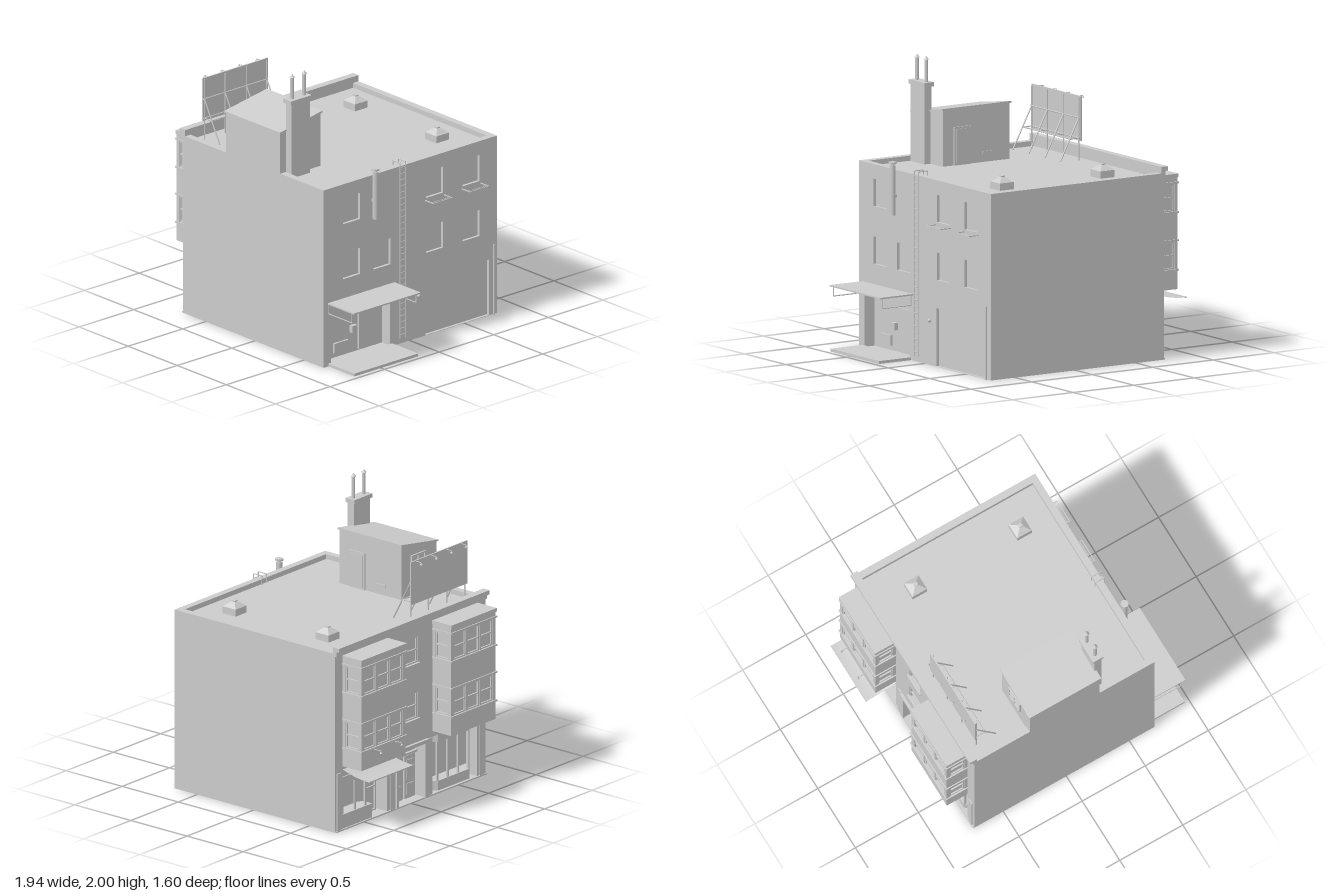
import * as THREE from 'three';

const mat = new THREE.MeshStandardMaterial({ color: 0xcccccc, side: THREE.DoubleSide });

function add(parent, name, geometry, x = 0, y = 0, z = 0) {
  const m = new THREE.Mesh(geometry, mat);
  m.name = name;
  m.position.set(x, y, z);
  parent.add(m);
  return m;
}

function group(parent, name, x = 0, y = 0, z = 0, rx = 0, ry = 0) {
  const g = new THREE.Group();
  g.name = name;
  g.position.set(x, y, z);
  g.rotation.set(rx, ry, 0);
  parent.add(g);
  return g;
}

// Box given by its limits; faces in drop (+x -x +y -y +z -z = 0..5) are left open
function box(parent, name, x0, x1, y0, y1, z0, z1, drop = []) {
  const g = new THREE.BoxGeometry(x1 - x0, y1 - y0, z1 - z0);
  if (drop.length) {
    g.setIndex(Array.from(g.index.array).filter((_, i) => !drop.includes(Math.floor(i / 6))));
    g.clearGroups();
  }
  return add(parent, name, g, (x0 + x1) / 2, (y0 + y1) / 2, (z0 + z1) / 2);
}

// Straight round bar between two points
function rod(parent, name, a, b, r = 0.004, sides = 6) {
  const p = new THREE.Vector3(...a), q = new THREE.Vector3(...b), d = q.clone().sub(p);
  const m = add(parent, name, new THREE.CylinderGeometry(r, r, d.length(), sides));
  m.position.copy(p).add(q).multiplyScalar(0.5);
  m.quaternion.setFromUnitVectors(new THREE.Vector3(0, 1, 0), d.normalize());
  return m;
}

const polygon = pts => new THREE.Shape(pts.map(p => new THREE.Vector2(...p)));
const rect = (a, b, c, d) => [[a, c], [b, c], [b, d], [a, d]];

// Flat wall facing local +z, with recessed openings [u0, u1, v0, v1, depth]
function wall(parent, name, u0, u1, v0, v1, openings) {
  const s = polygon(rect(u0, u1, v0, v1));
  for (const [a, b, c, d, depth] of openings) {
    s.holes.push(new THREE.Path(rect(a, b, c, d).map(p => new THREE.Vector2(...p))));
    box(parent, name + 'Recess', a, b, c, d, -depth, 0, [4]);
  }
  return add(parent, name, new THREE.ShapeGeometry(s));
}

// Sash frame: border, meeting rail and optional upright bars
function sash(parent, u0, u1, v0, v1, z, bars = 0, t = 0.01) {
  const m = (v0 + v1) / 2, g = group(parent, 'windowFrame');
  box(g, 'stile', u0, u0 + t, v0, v1, z, z + t);
  box(g, 'stile', u1 - t, u1, v0, v1, z, z + t);
  for (const v of [v0, m - t / 2, v1 - t]) box(g, 'rail', u0, u1, v, v + t, z, z + t * 1.1);
  for (let i = 1; i <= bars; i++) {
    const u = u0 + (u1 - u0) * i / (bars + 1);
    box(g, 'glazingBar', u - t / 2, u + t / 2, v0, v1, z, z + t);
  }
}

const floors = [[0.6, 0.79], [1.0, 1.19]];

// Projecting two-storey window bay on the street side
function bay(facade, u0, u1) {
  const D = 0.165, b = group(facade, 'windowBay');
  box(b, 'baySlabs', u0, u1, 0.46, 1.245, 0, D, [0, 1, 4, 5]);
  box(b, 'bayRoof', u0 - 0.005, u1 + 0.005, 1.235, 1.26, 0, D + 0.007);
  const fronts = [], sides = [], w = 0.125;
  for (const [v0, v1] of floors) {
    for (const k of [-1, 0, 1]) {
      const c = (u0 + u1) / 2 + k * 0.14;
      fronts.push([c - w / 2, c + w / 2, v0, v1, 0.018]);
    }
    sides.push([0.025, 0.14, v0, v1, 0.018]);
    for (const v of [v0 - 0.012, v1 + 0.003]) box(b, 'bayLedge', u0 - 0.008, u1 + 0.008, v, v + 0.012, 0, D + 0.008);
  }
  const f = group(b, 'bayFront', 0, 0, D);
  wall(f, 'bayFrontWall', u0, u1, 0.46, 1.245, fronts);
  for (const o of fronts) sash(f, o[0], o[1], o[2], o[3], -0.015);
  const r = group(b, 'baySide', u1, 0, D, 0, Math.PI / 2);
  const l = group(b, 'baySide', u0, 0, 0, 0, -Math.PI / 2);
  for (const s of [r, l]) {
    wall(s, 'baySideWall', 0, D, 0.46, 1.245, sides);
    for (const o of sides) sash(s, o[0], o[1], o[2], o[3], -0.015);
  }
}

function streetSide(root) {
  const f = group(root, 'streetFacade', -0.73, 0, 0, 0, -Math.PI / 2); // u = z, outward = -x
  const mid = floors.map(([a, b]) => [-0.07, 0.07, a, b, 0.02]);
  wall(f, 'streetWall', -0.8, 0.79, 0, 1.29, [...mid,
    [-0.72, -0.25, 0.01, 0.385, 0.1], [-0.14, 0.14, 0.01, 0.4, 0.08], [0.23, 0.7, 0.01, 0.42, 0.1]]);
  for (const o of mid) {
    sash(f, o[0], o[1], o[2], o[3], -0.015);
    box(f, 'windowSill', -0.085, 0.085, o[2] - 0.014, o[2], 0, 0.015);
  }
  bay(f, -0.72, -0.25);
  bay(f, 0.23, 0.7);
  // Cornice, base strip and pilasters
  box(f, 'corniceLower', -0.8, 0.79, 1.27, 1.305, -0.02, 0.012);
  box(f, 'corniceUpper', -0.8, 0.79, 1.305, 1.335, -0.02, 0.035);
  box(f, 'baseStrip', -0.8, 0.79, 0, 0.01, 0, 0.01);
  for (const u of [-0.765, -0.195, 0.185, 0.745]) box(f, 'pilaster', u - 0.022, u + 0.022, 0, 0.42, 0, 0.008);
  // Shop display with a rounded corner, beside its door
  const s = new THREE.Shape();
  s.moveTo(-0.72, 0.1); s.lineTo(-0.72, 0); s.lineTo(-0.47, 0);
  s.quadraticCurveTo(-0.41, 0, -0.41, 0.06); s.lineTo(-0.41, 0.1);
  const slab = (name, shape, y, h) => {
    const m = add(f, name, new THREE.ExtrudeGeometry(shape, { depth: h, bevelEnabled: false, curveSegments: 8 }), 0, y + h, 0);
    m.rotation.x = Math.PI / 2;
    m.position.z = -0.1;
    return m;
  };
  slab('shopStallRiser', s, 0.01, 0.1);
  slab('shopFascia', s, 0.33, 0.05);
  for (const u of [-0.71, -0.58, -0.47]) box(f, 'shopMullion', u - 0.006, u + 0.006, 0.11, 0.33, -0.018, -0.006);
  sash(f, -0.39, -0.27, 0.01, 0.36, -0.095);
  // Shop display with splayed sides
  const t = polygon([[0.23, 0], [0.3, 0.09], [0.63, 0.09], [0.7, 0]]);
  slab('splayedStallRiser', t, 0.01, 0.07);
  slab('splayedFascia', t, 0.36, 0.06);
  for (const u of [0.3, 0.41, 0.52, 0.63]) box(f, 'splayedMullion', u - 0.007, u + 0.007, 0.08, 0.36, -0.028, -0.014);
  // Double entrance door with hood
  for (const k of [-1, 1]) {
    box(f, 'entranceDoor', k * 0.065 - 0.055, k * 0.065 + 0.055, 0.012, 0.32, -0.08, -0.066);
    box(f, 'doorPanel', k * 0.065 - 0.035, k * 0.065 + 0.035, 0.15, 0.29, -0.066, -0.06);
    box(f, 'doorPanel', k * 0.065 - 0.035, k * 0.065 + 0.035, 0.04, 0.12, -0.066, -0.06);
    box(f, 'doorSurround', k * 0.15 - 0.012, k * 0.15 + 0.012, 0, 0.4, 0, 0.012);
  }
  box(f, 'doorTransom', -0.14, 0.14, 0.325, 0.34, -0.08, -0.06);
  box(f, 'doorHood', -0.17, 0.17, 0.4, 0.425, 0, 0.02);
  // Sagging awning and the two lamps above it
  const a = new THREE.PlaneGeometry(0.47, 0.24, 1, 8), p = a.attributes.position;
  for (let i = 0; i < p.count; i++) {
    const k = (p.getY(i) + 0.12) / 0.24;
    p.setXYZ(i, p.getX(i), 0.437 - 0.042 * (1 - (1 - k) ** 2), k * 0.24);
  }
  a.computeVertexNormals();
  add(f, 'awning', a, -0.485, 0, 0);
  box(f, 'awningEdge', -0.72, -0.25, 0.392, 0.4, 0.232, 0.24);
  for (const u of [-0.59, -0.37]) {
    rod(f, 'signLampArm', [u, 0.585, 0.165], [u, 0.588, 0.235], 0.003);
    add(f, 'signLampShade', new THREE.ConeGeometry(0.01, 0.016, 8), u, 0.578, 0.232);
  }
}

function yardSide(root) {
  const f = group(root, 'yardFacade', 0.7, 0, 0, 0, Math.PI / 2); // u = -z, outward = +x
  const wins = [];
  for (const u of [-0.61, 0.15, 0.485]) for (const [a, b] of floors) wins.push([u, u + 0.155, a, b, 0.02]);
  wins.push([-0.33, -0.175, 0.6, 0.79, 0.02]);
  wall(f, 'yardWall', -0.79, 0.8, 0, 1.29, [...wins, [0.145, 0.725, 0.003, 0.405, 0.02], [-0.72, -0.18, 0.01, 0.41, 0.08]]);
  // Wire shelves under two upper windows
  for (const u of [0.15, 0.485]) {
    const v = 0.982, a = u - 0.005, b = u + 0.165;
    box(f, 'shelfRail', a, b, v - 0.003, v + 0.003, 0.079, 0.085);
    box(f, 'shelfRail', a, b, v - 0.003, v + 0.003, 0.062, 0.066);
    for (const e of [a, b]) box(f, 'shelfArm', e - 0.003, e + 0.003, v - 0.003, v + 0.003, 0, 0.085);
  }
  // Loading entrance: door, hatches, platform and canopy
  box(f, 'loadingDoor', -0.405, -0.245, 0.02, 0.32, -0.08, -0.068);
  box(f, 'lowHatch', -0.63, -0.5, 0.045, 0.115, -0.08, -0.065);
  box(f, 'meterBox', -0.48, -0.435, 0.16, 0.21, -0.08, -0.05);
  box(f, 'platform', -0.745, -0.16, 0, 0.02, 0, 0.265);
  box(f, 'canopy', -0.75, -0.14, 0.45, 0.46, 0, 0.268);
  for (const u of [-0.745, -0.155]) {
    rod(f, 'canopyRail', [u, 0.382, 0], [u, 0.382, 0.24]);
    rod(f, 'canopyHanger', [u, 0.382, 0.24], [u, 0.455, 0.24]);
    rod(f, 'canopyHanger', [u, 0.382, 0.005], [u, 0.455, 0.005]);
  }
  rod(f, 'canopyLampStem', [-0.45, 0.435, 0.135], [-0.45, 0.452, 0.135], 0.006);
  add(f, 'canopyLamp', new THREE.ConeGeometry(0.028, 0.02, 12), -0.45, 0.433, 0.135);
  // Ladder with hooked tops over the parapet
  const lad = group(f, 'ladder');
  for (const u of [-0.1, -0.05]) {
    rod(lad, 'ladderRail', [u, 0.04, 0.014], [u, 1.32, 0.014]);
    rod(lad, 'ladderHook', [u, 1.32, 0.014], [u, 1.32, -0.06]);
    rod(lad, 'ladderHook', [u, 1.32, -0.06], [u, 1.25, -0.06]);
  }
  for (let i = 0; i < 28; i++) rod(lad, 'rung', [-0.1, 0.07 + i * 0.045, 0.014], [-0.05, 0.07 + i * 0.045, 0.014], 0.003);
  // Flue, drain pipe and small wall lamp
  rod(f, 'flue', [-0.34, 0.98, 0.03], [-0.34, 1.325, 0.03], 0.021, 12);
  rod(f, 'flueNeck', [-0.34, 1.32, 0.03], [-0.34, 1.34, 0.03], 0.012, 8);
  rod(f, 'flueCap', [-0.34, 1.335, 0.03], [-0.34, 1.348, 0.03], 0.028, 12);
  box(f, 'flueBracket', -0.35, -0.33, 1.1, 1.12, 0, 0.02);
  rod(f, 'drainPipe', [0.76, 0, 0.014], [0.76, 0.51, 0.014], 0.007, 8);
  add(f, 'wallLamp', new THREE.SphereGeometry(0.013, 10, 8), 0.075, 0.31, 0.01);
}

function roofTop(root) {
  const r = group(root, 'roof', 0, 1.29, 0, -Math.PI / 2, 0); // u = x, v = -z
  wall(r, 'parapet', -0.73, 0.7, -0.79, 0.8, [[-0.71, 0.65, -0.74, 0.75, 0.035]]);
  // Pyramid skylights
  for (const x of [-0.42, 0.41]) {
    box(root, 'skylightCurb', x - 0.058, x + 0.058, 1.255, 1.305, -0.57, -0.454);
    const g = new THREE.CylinderGeometry(0.02, 0.082, 0.035, 4).toNonIndexed();
    g.computeVertexNormals();
    add(root, 'skylight', g, x, 1.322, -0.512).rotation.y = Math.PI / 4;
    box(root, 'skylightCap', x - 0.014, x + 0.014, 1.338, 1.347, -0.526, -0.498);
  }
  // Stair house with a lean-to roof
  const prism = (name, pts, x0, x1) => {
    const g = new THREE.ExtrudeGeometry(polygon(pts), { depth: x1 - x0, bevelEnabled: false });
    add(root, name, g, x1, 0, 0).rotation.y = -Math.PI / 2;
  };
  prism('stairHouse', [[0.42, 1.25], [0.792, 1.25], [0.792, 1.585], [0.42, 1.645]], -0.29, 0.26);
  prism('stairHouseRoof', [[0.41, 1.643], [0.8, 1.582], [0.8, 1.593], [0.41, 1.656]], -0.3, 0.27);
  box(root, 'roofDoor', 0.03, 0.17, 1.255, 1.52, 0.412, 0.42);
  box(root, 'roofDoorPanel', 0.045, 0.155, 1.27, 1.505, 0.408, 0.414);
  box(root, 'vent', -0.15, -0.07, 1.31, 1.33, 0.414, 0.42);
  const w = group(root, 'stairWindow', -0.29, 0, 0, 0, -Math.PI / 2);
  sash(w, 0.52, 0.67, 1.41, 1.55, 0, 1);
  // Chimney and its two pots
  box(root, 'chimney', 0.255, 0.312, 1.25, 1.8, 0.565, 0.735);
  box(root, 'chimneyCap', 0.24, 0.32, 1.79, 1.82, 0.555, 0.745);
  for (const z of [0.59, 0.7]) {
    rod(root, 'chimneyPot', [0.28, 1.82, z], [0.28, 1.975, z], 0.013, 10);
    add(root, 'chimneyPotCap', new THREE.ConeGeometry(0.019, 0.025, 10), 0.28, 1.9875, z);
  }
  // Blank billboard on braced posts with lamps
  const b = group(root, 'billboard');
  box(b, 'panel', -0.66, -0.65, 1.39, 1.7, 0.085, 0.68);
  for (const z of [0.1, 0.285, 0.48, 0.67]) {
    rod(b, 'post', [-0.645, 1.255, z], [-0.645, 1.69, z], 0.005);
    rod(b, 'brace', [-0.645, 1.55, z], [-0.49, 1.26, z], 0.005);
    rod(b, 'tie', [-0.645, 1.41, z], [-0.57, 1.41, z], 0.004);
  }
  for (const [x, y] of [[-0.575, 1.41], [-0.645, 1.41], [-0.645, 1.55]]) rod(b, 'beam', [x, y, 0.09], [x, y, 0.68], 0.005);
  for (const z of [0.14, 0.3, 0.46, 0.615]) {
    rod(b, 'lampArm', [-0.65, 1.695, z], [-0.705, 1.692, z], 0.003);
    add(b, 'lampShade', new THREE.ConeGeometry(0.011, 0.016, 8), -0.705, 1.686, z);
  }
}

export function createModel() {
  const root = new THREE.Group();
  root.name = 'building';
  // Plain party walls, open below
  box(root, 'partyWalls', -0.73, 0.7, 0, 1.29, -0.8, 0.79, [0, 1, 2, 3]);
  streetSide(root);
  yardSide(root);
  roofTop(root);
  return root;
}
